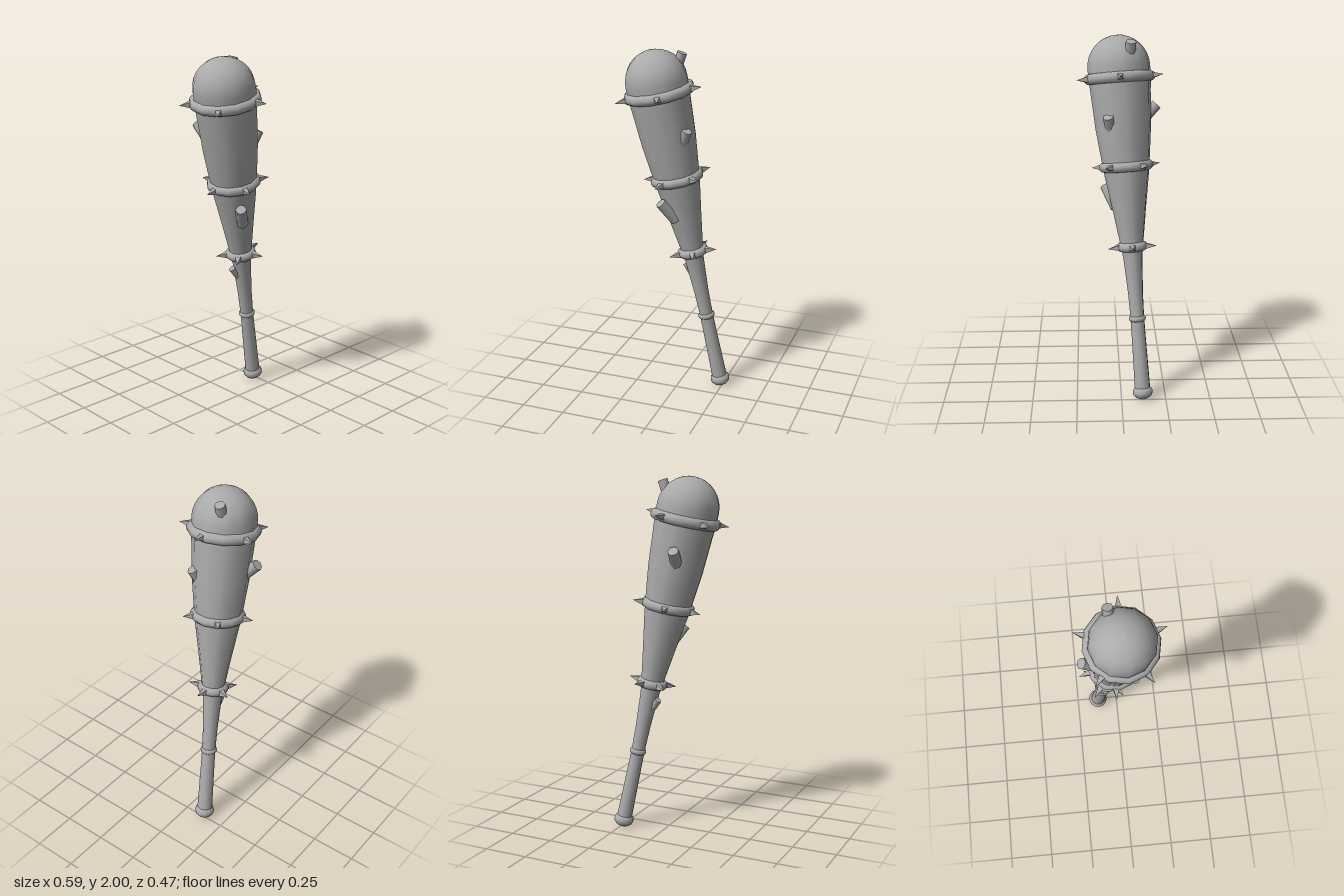
import * as THREE from 'three';

const grey = new THREE.MeshStandardMaterial({ color: 0xaaaaaa });
grey.name = 'grey';

const SIDES = 12;
const PHASE = 0.09;
const UP = new THREE.Vector3(0, 1, 0);
const BASE = new THREE.Vector3(0.235, 0.042, -0.12); // centre of the pommel
const AXIS = new THREE.Vector3(-0.333, 1.728, 0.12).normalize();

function part(name, geometry, parent) {
  const mesh = new THREE.Mesh(geometry, grey);
  mesh.name = name;
  parent.add(mesh);
  return mesh;
}

function lathe(points) {
  return new THREE.LatheGeometry(points.map(([r, y]) => new THREE.Vector2(r, y)), SIDES, PHASE);
}

// arc of a profile from angle a to b, centred at (r, y)
function arc(r, y, rx, ry, a, b, n) {
  return Array.from({ length: n + 1 }, (_, i) => {
    const t = a + (b - a) * i / n;
    return [Math.max(0, r + rx * Math.cos(t)), y + ry * Math.sin(t)];
  });
}

// rounded ring around the shaft
function ring(name, parent, y, radius, tube) {
  part(name, lathe(arc(radius, y, tube, tube, -Math.PI / 2, Math.PI / 2, 6)), parent);
}

// broken branch stub ending at tip, pointing along dir
function stub(name, parent, tip, dir, radius, length) {
  const d = new THREE.Vector3(...dir).normalize();
  const geometry = new THREE.CylinderGeometry(radius, radius * 1.12, length, 8);
  geometry.translate(0, -length / 2, 0);
  const mesh = part(name, geometry, parent);
  mesh.position.set(...tip);
  mesh.quaternion.setFromUnitVectors(UP, d);
}

export function createModel() {
  const model = new THREE.Group();
  model.name = 'spikedClub';

  // everything turned on the leaning axis
  const club = new THREE.Group();
  club.name = 'club';
  club.position.copy(BASE);
  club.quaternion.setFromUnitVectors(UP, AXIS);
  model.add(club);

  // tapered shaft with domed head
  part('shaft', lathe([
    [0.044, 0], [0.043, 0.06], [0.039, 0.35], [0.039, 0.45], [0.042, 0.57],
    [0.054, 0.77], [0.071, 0.89], [0.092, 1.03], [0.122, 1.22], [0.136, 1.33],
    [0.154, 1.49], [0.166, 1.68], [0.172, 1.76],
    ...arc(0, 1.823, 0.173, 0.173, 0, Math.PI / 2, 8),
  ]), club);

  // pommel and grip ring
  part('pommel', lathe(arc(0, 0, 0.057, 0.042, -Math.PI / 2, Math.PI / 2, 8)), club);
  ring('gripRing', club, 0.422, 0.031, 0.017);

  // spiked bands: height, ring radius, tube radius, spike tip radius, first angle
  const bands = [
    ['lowerBand', 0.83, 0.062, 0.026, 0.143, 0],
    ['middleBand', 1.279, 0.124, 0.028, 0.2, Math.PI / 5],
    ['upperBand', 1.764, 0.168, 0.03, 0.248, 0],
  ];
  for (const [name, y, radius, tube, tip, start] of bands) {
    ring(name, club, y, radius, tube);
    const length = tip - radius - tube / 2;
    for (let i = 0; i < 5; i++) {
      const a = start + i * Math.PI * 2 / 5;
      const geometry = new THREE.ConeGeometry(0.024, length, 4).toNonIndexed();
      geometry.rotateY(Math.PI / 4);
      geometry.computeVertexNormals();
      geometry.rotateZ(-Math.PI / 2);
      geometry.translate(tip - length / 2, 0, 0);
      geometry.rotateY(-a);
      geometry.translate(0, y, 0);
      part(name + 'Spike', geometry, club);
    }
  }

  // branch stubs
  stub('headStub', model, [0.014, 1.98, -0.057], [0.33, 0.94, -0.05], 0.028, 0.12);
  stub('leftStub', model, [0.085, 1.588, 0.067], [0.4, 0.9, 0.22], 0.029, 0.12);
  stub('backStub', model, [-0.118, 1.618, -0.205], [-0.1, 0.72, -0.68], 0.03, 0.13);
  stub('frontStub', model, [-0.06, 1.17, 0.082], [-0.48, 0.75, 0.42], 0.03, 0.14);
  stub('rightStub', model, [0.03, 0.765, -0.085], [-0.62, 0.78, -0.1], 0.02, 0.1);

  return model;
}
